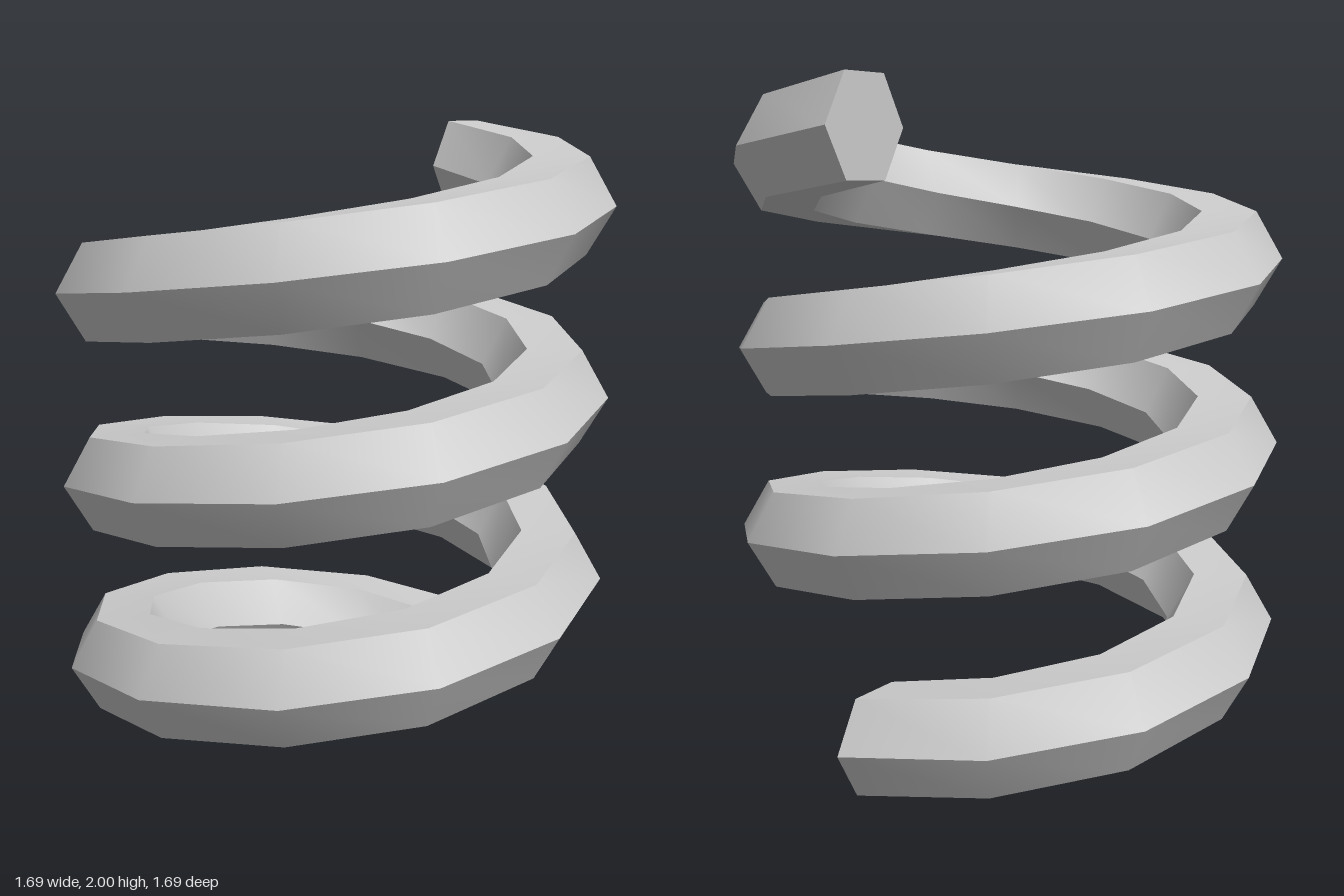
import * as THREE from 'three';
import { toCreasedNormals } from 'three/addons/utils/BufferGeometryUtils.js';

const TURNS = 3, STEPS = 12, SIDES = 6;
const COIL_RADIUS = 0.68;
const HALF_HEIGHT = 1 / 7; // half the wire's flat-to-flat height
const WIRE_RADIUS = HALF_HEIGHT / Math.cos(Math.PI / SIDES);
const PITCH = (2 - 2 * HALF_HEIGHT) / TURNS;

// Hexagonal section kept upright while it is swept up a helix
function coilGeometry() {
  const positions = [], index = [];
  const rings = TURNS * STEPS;
  for (let i = 0; i <= rings; i++) {
    const turn = (i / STEPS) * Math.PI * 2;
    for (let j = 0; j < SIDES; j++) {
      const phi = (j / SIDES) * Math.PI * 2;
      const r = COIL_RADIUS + WIRE_RADIUS * Math.cos(phi);
      const y = HALF_HEIGHT + (PITCH * i) / STEPS + WIRE_RADIUS * Math.sin(phi);
      positions.push(r * Math.cos(turn), y, -r * Math.sin(turn));
    }
  }
  for (let i = 0; i < rings; i++) {
    for (let j = 0; j < SIDES; j++) {
      const a = i * SIDES + j, b = i * SIDES + ((j + 1) % SIDES);
      const c = a + SIDES, d = b + SIDES;
      index.push(a, c, b, b, c, d);
    }
  }
  // Flat caps at the two cut ends
  const end = rings * SIDES;
  for (let k = 1; k < SIDES - 1; k++) {
    index.push(0, k, k + 1);
    index.push(end, end + k + 1, end + k);
  }
  const geometry = new THREE.BufferGeometry();
  geometry.setAttribute('position', new THREE.Float32BufferAttribute(positions, 3));
  geometry.setIndex(index);
  // Smooth around the coil, sharp along the wire's edges
  return toCreasedNormals(geometry, THREE.MathUtils.degToRad(40));
}

export function createModel() {
  const group = new THREE.Group();
  group.name = 'coilSpring';
  const coil = new THREE.Mesh(coilGeometry(), new THREE.MeshStandardMaterial({ color: 0xcccccc }));
  coil.name = 'coil';
  group.add(coil);
  return group;
}
